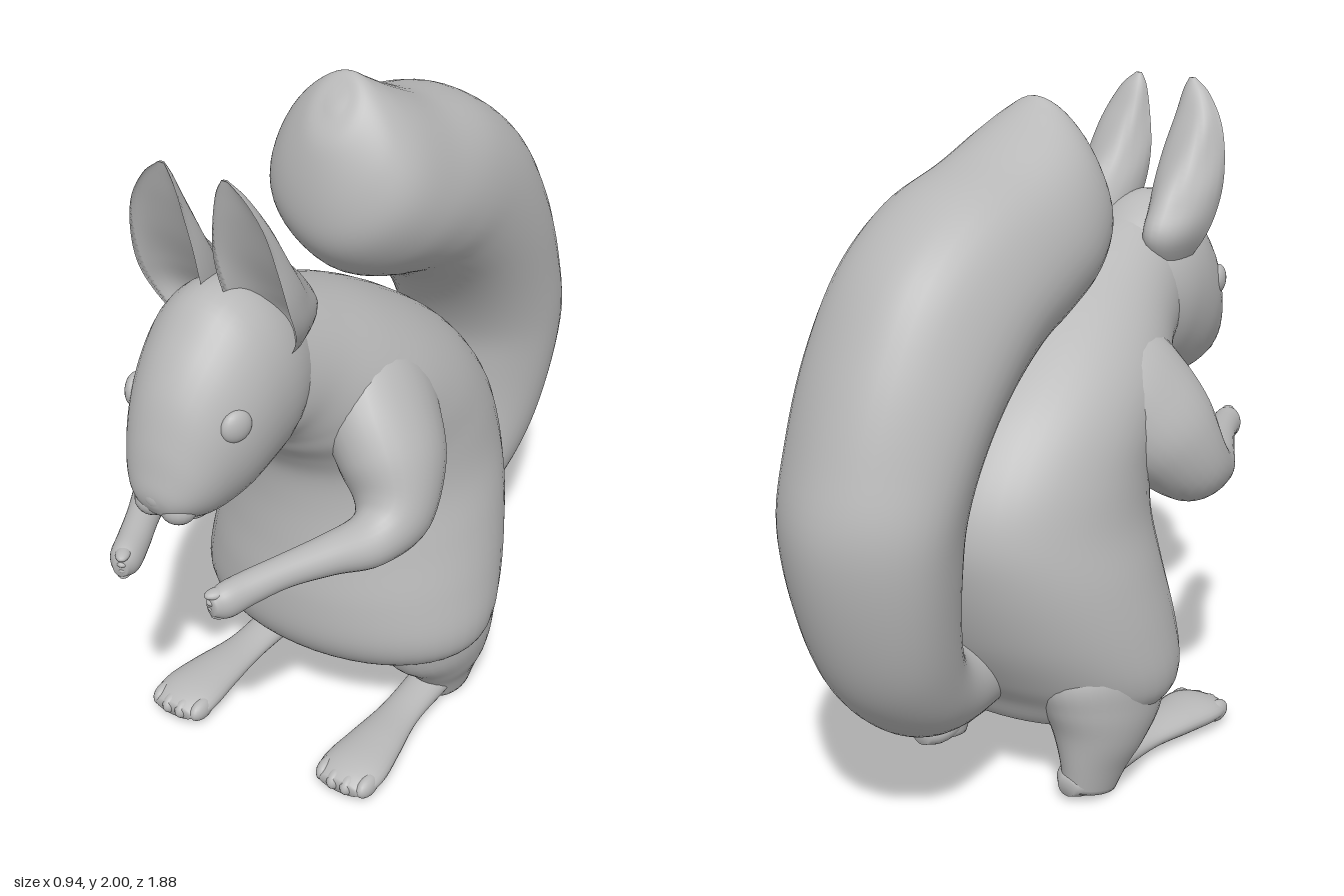
import * as THREE from 'three';

const V = (x, y, z) => new THREE.Vector3(x, y, z);

// Smooth skin through cross-sections { c, u, v }: centre and two half-axis vectors.
// dent < 1 pulls in the +v half, which hollows a form such as an ear.
function loft(sections, { seg = 36, steps = 6, dent = 1, ripple = 0 } = {}) {
  const curve = key => new THREE.CatmullRomCurve3(sections.map(s => s[key]), false, 'catmullrom', 0.5);
  const [C, U, W] = ['c', 'u', 'v'].map(curve);
  const rings = (sections.length - 1) * steps;
  const pos = [], idx = [];
  for (let i = 0; i <= rings; i++) {
    const t = i / rings, c = C.getPoint(t), u = U.getPoint(t), v = W.getPoint(t);
    for (let j = 0; j < seg; j++) {
      const a = (j / seg) * Math.PI * 2, s = Math.sin(a);
      const k = 1 + ripple * Math.sin(a * 5 + t * 9) * Math.sin(t * Math.PI);
      const p = c.clone().addScaledVector(u, Math.cos(a) * k).addScaledVector(v, (s > 0 ? s * dent : s) * k);
      pos.push(p.x, p.y, p.z);
    }
  }
  for (let i = 0; i < rings; i++) for (let j = 0; j < seg; j++) {
    const a = i * seg + j, b = i * seg + (j + 1) % seg;
    idx.push(a, b, b + seg, a, b + seg, a + seg);
  }
  // end caps
  const first = sections[0].c, last = sections[sections.length - 1].c, n = pos.length / 3;
  pos.push(first.x, first.y, first.z, last.x, last.y, last.z);
  for (let j = 0; j < seg; j++) {
    const k = (j + 1) % seg;
    idx.push(n, k, j, n + 1, rings * seg + j, rings * seg + k);
  }
  // turn the faces outward, whichever way the sections run
  const at = i => V(pos[i * 3], pos[i * 3 + 1], pos[i * 3 + 2]);
  let volume = 0;
  for (let i = 0; i < idx.length; i += 3) volume += at(idx[i]).dot(at(idx[i + 1]).cross(at(idx[i + 2])));
  if (volume < 0) idx.reverse();
  const g = new THREE.BufferGeometry();
  g.setAttribute('position', new THREE.Float32BufferAttribute(pos, 3));
  g.setIndex(idx);
  g.computeVertexNormals();
  return g;
}

// Section on the centre plane from two outline points (z, y) and a half width
const profile = rows => rows.map(([z1, y1, z2, y2, r]) => ({
  c: V(0, (y1 + y2) / 2, (z1 + z2) / 2), u: V(r, 0, 0), v: V(0, (y1 - y2) / 2, (z1 - z2) / 2),
}));

// Sections square to a spine of [x, y, z, half width, half depth]
function spine(rows, side) {
  const pts = rows.map(r => V(r[0] * side, r[1], r[2]));
  return rows.map((r, i) => {
    const t = pts[Math.min(i + 1, pts.length - 1)].clone().sub(pts[Math.max(i - 1, 0)]).normalize();
    const u = V(1, 0, 0).addScaledVector(t, -t.x).normalize();
    return { c: pts[i], u: u.clone().multiplyScalar(r[3]), v: t.clone().cross(u).multiplyScalar(r[4]) };
  });
}

export function createModel() {
  const group = new THREE.Group();
  const fur = new THREE.MeshStandardMaterial({ color: 0xb8b8b8 });
  fur.name = 'grey';
  const add = (name, geo) => {
    const m = new THREE.Mesh(geo, fur);
    m.name = name;
    group.add(m);
    return m;
  };
  const ball = (name, p, r) => {
    const m = add(name, new THREE.SphereGeometry(1, 20, 14));
    m.position.set(...p);
    m.scale.set(...r);
    return m;
  };

  // front outline, back outline, half width
  add('body', loft(profile([
    [0.10, 0.195, -0.12, 0.20, 0.22], [0.22, 0.21, -0.20, 0.22, 0.34],
    [0.32, 0.27, -0.25, 0.30, 0.44], [0.375, 0.36, -0.31, 0.38, 0.47],
    [0.385, 0.50, -0.39, 0.52, 0.455], [0.37, 0.65, -0.45, 0.70, 0.42],
    [0.36, 0.80, -0.465, 0.85, 0.38], [0.37, 0.92, -0.41, 1.00, 0.36],
    [0.41, 1.00, -0.28, 1.16, 0.345], [0.46, 1.06, -0.10, 1.30, 0.32],
    [0.49, 1.10, 0.10, 1.42, 0.275], [0.52, 1.12, 0.30, 1.51, 0.225],
    [0.56, 1.13, 0.43, 1.56, 0.195], [0.60, 1.16, 0.53, 1.59, 0.17],
  ]), { seg: 48 }));

  add('head', loft(profile([
    [0.36, 1.48, 0.47, 1.18, 0.16], [0.54, 1.62, 0.54, 1.10, 0.20],
    [0.68, 1.63, 0.60, 1.07, 0.205], [0.79, 1.54, 0.68, 1.045, 0.19],
    [0.87, 1.43, 0.75, 1.035, 0.16], [0.915, 1.31, 0.81, 1.045, 0.13],
    [0.935, 1.22, 0.87, 1.07, 0.095], [0.942, 1.175, 0.915, 1.095, 0.055],
    [0.94, 1.14, 0.935, 1.125, 0.01],
  ]), { seg: 40 }));
  ball('nose', [0, 1.155, 0.925], [0.035, 0.03, 0.018]);
  ball('lowerLip', [0, 1.055, 0.79], [0.06, 0.025, 0.06]);

  // inner outline, outer outline, half width
  add('tail', loft(profile([
    [-0.15, 0.50, -0.20, 0.27, 0.10], [-0.35, 0.52, -0.42, 0.26, 0.13],
    [-0.44, 0.58, -0.62, 0.32, 0.17], [-0.47, 0.70, -0.79, 0.48, 0.21],
    [-0.475, 0.85, -0.89, 0.70, 0.24], [-0.455, 0.98, -0.935, 0.96, 0.26],
    [-0.38, 1.12, -0.885, 1.18, 0.27], [-0.27, 1.24, -0.79, 1.42, 0.28],
    [-0.13, 1.33, -0.65, 1.64, 0.285], [-0.01, 1.375, -0.45, 1.79, 0.285],
    [0.10, 1.44, -0.22, 1.865, 0.27], [0.185, 1.54, -0.08, 1.93, 0.235],
    [0.205, 1.66, 0.00, 1.975, 0.17], [0.18, 1.82, 0.04, 1.995, 0.085],
    [0.12, 1.92, 0.08, 1.96, 0.02],
  ]), { seg: 48, ripple: 0.015 }));

  for (const s of [1, -1]) {
    const side = s > 0 ? 'left' : 'right';

    // hollow ear opening to the front: x, y, z, half width, depth
    const ear = [
      [0.12, 1.42, 0.56, 0.04, 0.06], [0.135, 1.53, 0.61, 0.085, 0.18],
      [0.135, 1.63, 0.655, 0.10, 0.175], [0.13, 1.74, 0.68, 0.098, 0.11],
      [0.125, 1.85, 0.70, 0.078, 0.065], [0.11, 1.93, 0.71, 0.045, 0.035],
      [0.095, 1.972, 0.71, 0.01, 0.008],
    ].map(([x, y, z, a, b]) => ({ c: V(x * s, y, z), u: V(a, 0, 0), v: V(0, 0, b) }));
    add(side + 'Ear', loft(ear, { seg: 28, dent: -0.4, ripple: 0.04 }));

    const eye = ball(side + 'Eye', [0.16 * s, 1.35, 0.785], [0.025, 0.045, 0.045]);
    eye.rotation.y = -0.35 * s;
    ball(side + 'Cheek', [0.04 * s, 1.115, 0.88], [0.05, 0.045, 0.05]);

    add(side + 'Arm', loft(spine([
      [0.10, 1.27, 0.13, 0.09, 0.12], [0.165, 1.19, 0.18, 0.14, 0.20],
      [0.235, 1.10, 0.23, 0.15, 0.20], [0.305, 1.00, 0.285, 0.14, 0.17],
      [0.35, 0.905, 0.36, 0.105, 0.12], [0.34, 0.875, 0.46, 0.078, 0.075],
      [0.29, 0.88, 0.58, 0.058, 0.055], [0.235, 0.88, 0.70, 0.046, 0.045],
      [0.19, 0.87, 0.80, 0.045, 0.047], [0.163, 0.86, 0.87, 0.042, 0.05],
      [0.15, 0.858, 0.908, 0.02, 0.028],
    ], s), { seg: 28 }));
    for (let i = 0; i < 4; i++) {
      const finger = ball(side + 'Finger', [(0.154 + i * 0.003) * s, 0.893 - i * 0.022, 0.887 - i * 0.004], [0.02, 0.014, 0.034]);
      finger.rotation.y = -0.5 * s;
    }

    add(side + 'Leg', loft(spine([
      [0.22, 0.52, 0.00, 0.12, 0.18], [0.265, 0.38, -0.005, 0.17, 0.235],
      [0.283, 0.26, -0.015, 0.155, 0.215], [0.29, 0.17, -0.045, 0.125, 0.16],
      [0.287, 0.09, -0.062, 0.09, 0.125], [0.28, 0.015, -0.075, 0.07, 0.10],
    ], s), { seg: 32 }));

    add(side + 'Foot', loft(spine([
      [0.27, 0.045, -0.18, 0.03, 0.03], [0.273, 0.052, -0.12, 0.07, 0.05],
      [0.28, 0.055, 0.03, 0.062, 0.045], [0.285, 0.052, 0.20, 0.062, 0.034],
      [0.295, 0.052, 0.35, 0.083, 0.042], [0.30, 0.050, 0.45, 0.098, 0.044],
      [0.30, 0.045, 0.51, 0.094, 0.038], [0.30, 0.04, 0.555, 0.065, 0.022],
    ], s), { seg: 28 }));
    for (let i = 0; i < 4; i++) {
      const bow = Math.abs(i - 1.5);
      ball(side + 'Toe', [(0.231 + i * 0.046) * s, 0.043, 0.525 - bow * 0.014], [0.026, 0.033, 0.05]);
    }
  }
  return group;
}
